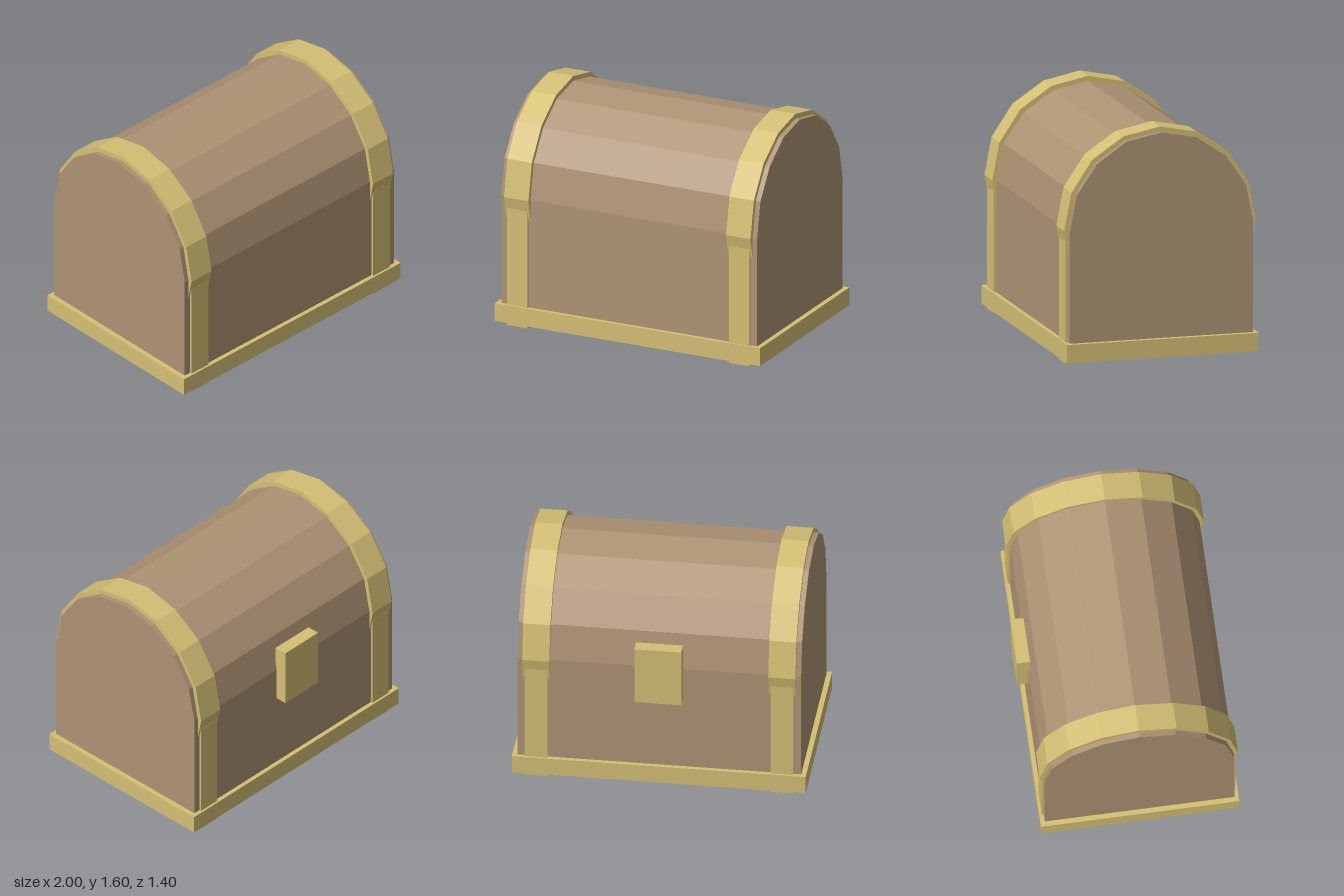
import * as THREE from 'three';

const CZ = 0.025; // depth centre of the chest, the latch sticks out behind

export function createModel() {
  const wood = new THREE.MeshStandardMaterial({ color: 0xae9374 });
  wood.name = 'brown wood';
  const brass = new THREE.MeshStandardMaterial({ color: 0xd4bf74 });
  brass.name = 'pale brass';

  const chest = new THREE.Group();
  chest.name = 'chest';

  function add(name, geometry, material, x, y, z) {
    const mesh = new THREE.Mesh(geometry, material);
    mesh.name = name;
    mesh.position.set(x, y, z);
    chest.add(mesh);
  }

  function box(name, material, x0, x1, y0, y1, z0, z1) {
    const geometry = new THREE.BoxGeometry(x1 - x0, y1 - y0, z1 - z0);
    add(name, geometry, material, (x0 + x1) / 2, (y0 + y1) / 2, (z0 + z1) / 2);
  }

  // Extrude a mirrored [half depth, height] outline along x
  function arch(name, material, half, x0, x1) {
    const mirrored = half.filter(([d]) => d > 0).reverse().map(([d, y]) => [-d, y]);
    const shape = new THREE.Shape([...half, ...mirrored].map(([d, y]) => new THREE.Vector2(d, y)));
    const geometry = new THREE.ExtrudeGeometry(shape, { depth: x1 - x0, bevelEnabled: false });
    geometry.rotateY(Math.PI / 2);
    add(name, geometry, material, x0, 0, CZ);
  }

  // Body and faceted lid in one outline
  arch('body', wood, [
    [0.645, 0.03], [0.645, 0.92], [0.595, 1.17], [0.455, 1.375], [0.247, 1.517], [0, 1.566],
  ], -0.965, 0.965);

  // Base plinth
  box('base', brass, -1, 1, 0.02, 0.147, CZ - 0.675, CZ + 0.675);

  // Straps: wide over the lid, narrower down the sides and under the base
  const lidStrap = [
    [0.643, 0.76], [0.675, 0.92], [0.624, 1.18], [0.477, 1.4], [0.257, 1.547], [0, 1.6],
  ];
  for (const side of [-1, 1]) {
    const label = side > 0 ? 'left' : 'right';
    const c = side * 0.8375;
    arch(label + 'LidStrap', brass, lidStrap, c - 0.0925, c + 0.0925);
    box(label + 'BodyStrap', brass, c - 0.0775, c + 0.0775, 0, 0.84, CZ - 0.66, CZ + 0.66);
  }

  // Latch plate
  box('latch', brass, -0.16, 0.16, 0.68, 1.1, -0.7, -0.61);

  return chest;
}
